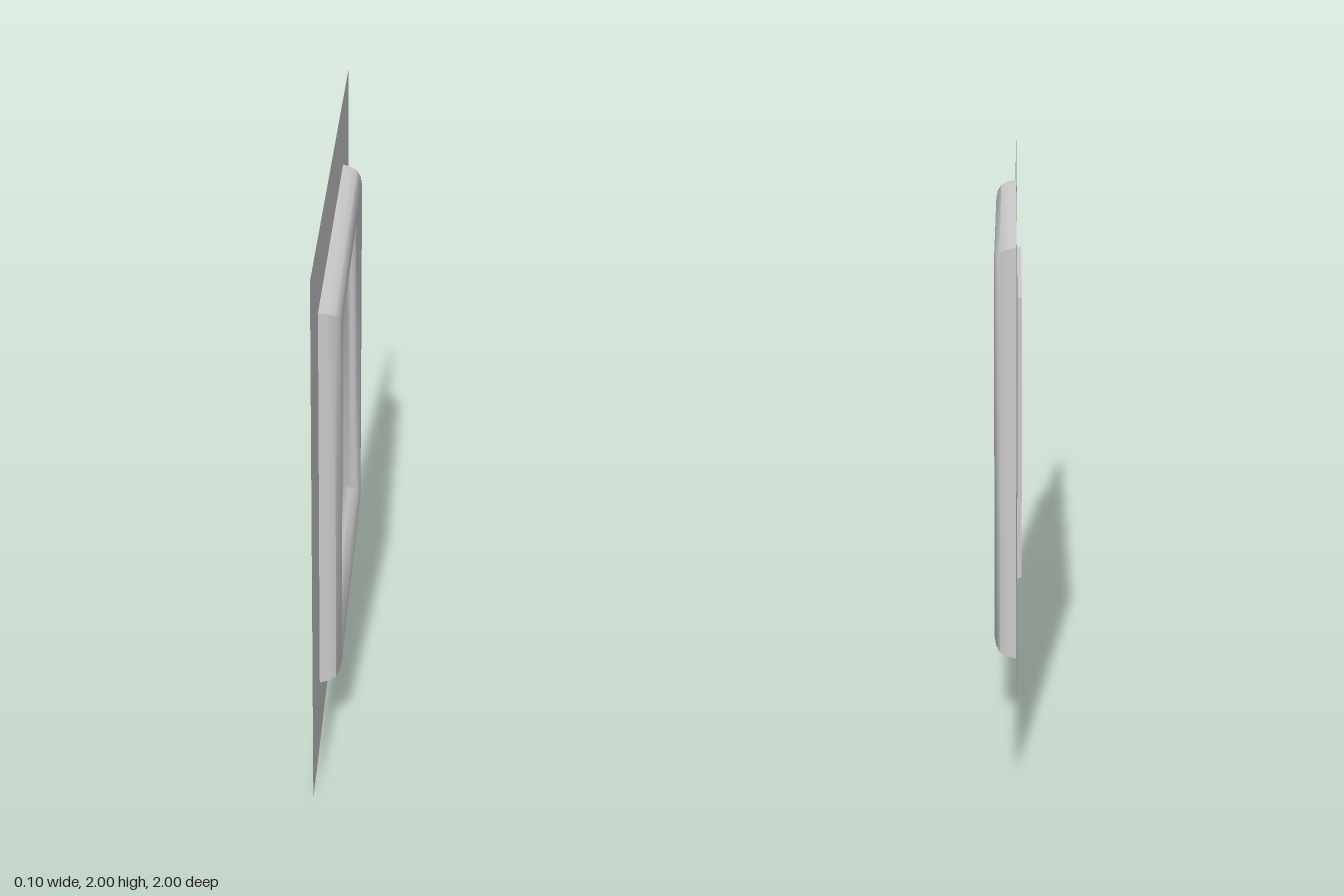
import * as THREE from 'three';
import { toCreasedNormals } from 'three/addons/utils/BufferGeometryUtils.js';

const CENTER_Y = 1;
const material = new THREE.MeshStandardMaterial({ color: 0xcccccc, side: THREE.DoubleSide });

// Lofts nested rectangles, outermost first; each ring is [halfHeight, halfWidth, x].
function mitredLoft(name, rings, crease) {
  const positions = [];
  const corner = ([h, w, x], i) => {
    const [sy, sz] = [[1, 1], [-1, 1], [-1, -1], [1, -1]][i % 4];
    return [x, CENTER_Y + sy * h, sz * w];
  };
  for (let r = 0; r < rings.length - 1; r++) {
    for (let i = 0; i < 4; i++) {
      const a = corner(rings[r], i), b = corner(rings[r], i + 1);
      const c = corner(rings[r + 1], i + 1), d = corner(rings[r + 1], i);
      positions.push(...a, ...b, ...c, ...a, ...c, ...d);
    }
  }
  const geometry = new THREE.BufferGeometry();
  geometry.setAttribute('position', new THREE.Float32BufferAttribute(positions, 3));
  const mesh = new THREE.Mesh(toCreasedNormals(geometry, crease), material);
  mesh.name = name;
  return mesh;
}

export function createModel() {
  const group = new THREE.Group();
  group.name = 'embossedWallPanel';

  const halfH = 0.735, halfW = 0.668, wallX = -0.03, panelX = -0.05;
  const inset = ([d, x]) => [halfH - d, halfW - d, x];

  // Flat surround with a rectangular opening
  group.add(mitredLoft('surround', [[1, 1, wallX], inset([0, wallX])], 0.5));

  // Hollow rounded moulding sloping in to the panel: [inset, height]
  const profile = [
    [0, wallX], [0.006, 0.0], [0.018, 0.027], [0.036, 0.04], [0.06, 0.046],
    [0.085, 0.041], [0.105, 0.027], [0.12, 0.006], [0.132, -0.01],
    [0.15, -0.02], [0.18, -0.028], [0.22, -0.034],
  ];
  group.add(mitredLoft('moulding', profile.map(inset), 1.2));

  // Small step down to the recessed panel
  group.add(mitredLoft('panelStep', [[0.22, -0.034], [0.222, panelX]].map(inset), 0.5));

  // Flat recessed panel
  const [h, w] = inset([0.222, panelX]);
  const panel = new THREE.Mesh(new THREE.PlaneGeometry(2 * w, 2 * h), material);
  panel.name = 'recessedPanel';
  panel.rotation.y = Math.PI / 2;
  panel.position.set(panelX, CENTER_Y, 0);
  group.add(panel);

  return group;
}
